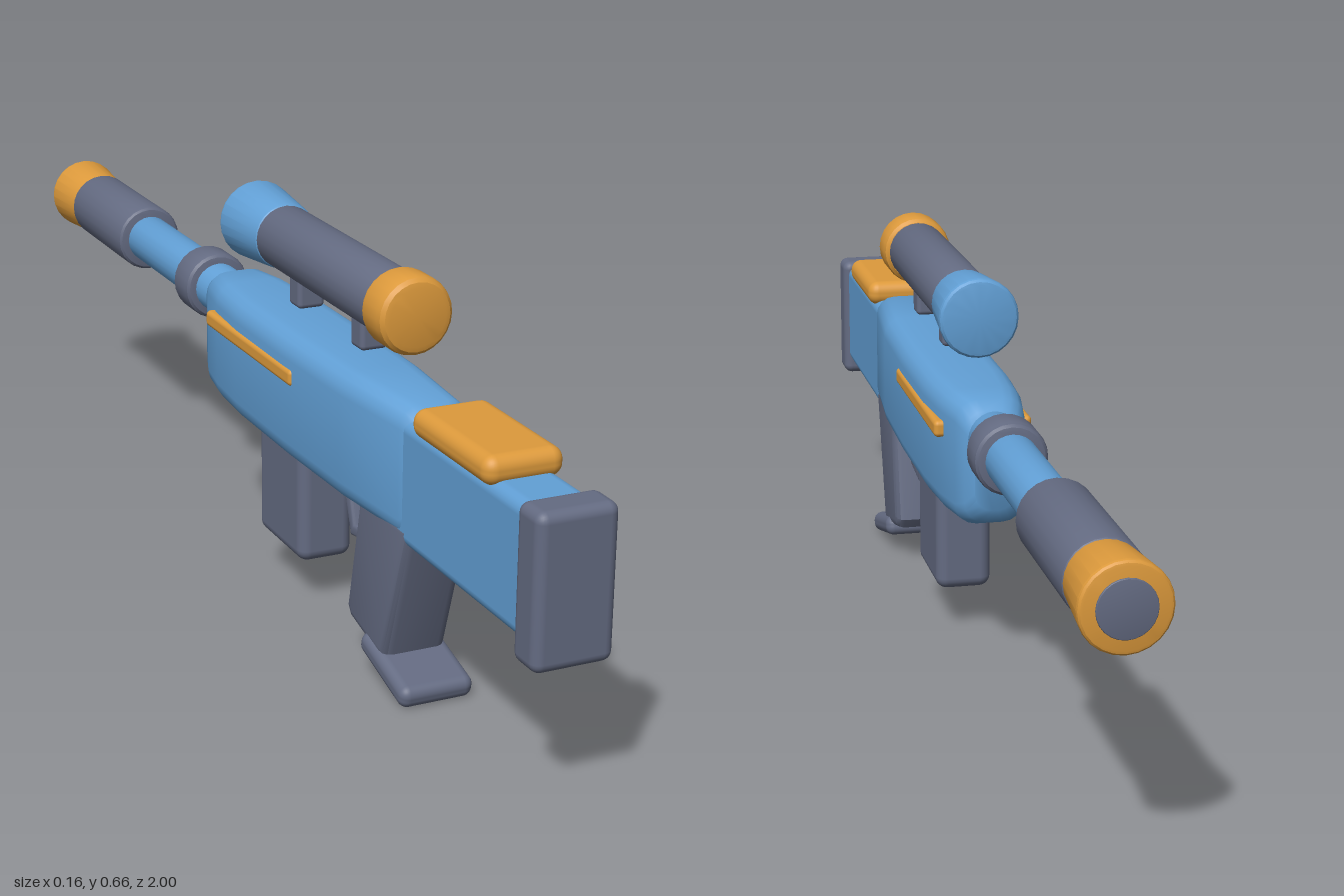
import * as THREE from 'three';
import { toCreasedNormals } from 'three/addons/utils/BufferGeometryUtils.js';
import { RoundedBoxGeometry } from 'three/addons/geometries/RoundedBoxGeometry.js';

const paint = (name, color) => {
  const m = new THREE.MeshStandardMaterial({ color });
  m.name = name;
  return m;
};

// Rounded cylinder along z, from zBack (radius rBack) to zFront (radius rFront)
function barrelPart(zBack, rBack, zFront, rFront, bevel = 0.008) {
  const pts = [new THREE.Vector2(0, -zBack)];
  for (let i = 0; i <= 3; i++) {
    const a = (i / 3) * Math.PI / 2;
    pts.push(new THREE.Vector2(rBack - bevel * (1 - Math.sin(a)), -zBack + bevel * (1 - Math.cos(a))));
  }
  for (let i = 0; i <= 3; i++) {
    const a = (i / 3) * Math.PI / 2;
    pts.push(new THREE.Vector2(rFront - bevel * (1 - Math.cos(a)), -zFront - bevel * (1 - Math.sin(a))));
  }
  pts.push(new THREE.Vector2(0, -zFront));
  return toCreasedNormals(new THREE.LatheGeometry(pts, 24).rotateX(-Math.PI / 2), 0.4);
}

// Side outline of [z, y] points extruded across x with bevelled edges
function sideExtrude(points, halfWidth, bevel) {
  const shape = new THREE.Shape(points.map(([z, y]) => new THREE.Vector2(z, y)));
  const g = new THREE.ExtrudeGeometry(shape, {
    depth: 2 * (halfWidth - bevel), bevelEnabled: true, bevelSize: bevel,
    bevelOffset: -bevel, bevelThickness: bevel, bevelSegments: 3,
  });
  g.translate(0, 0, -(halfWidth - bevel)).rotateY(-Math.PI / 2);
  return toCreasedNormals(g, 0.6);
}

// Rounded-rectangle sections [z, halfWidth, yLow, yHigh, cornerRadius] joined from back to front
function loft(sections) {
  const pos = [], index = [], steps = 4, n = 4 * (steps + 1);
  for (const [z, w, lo, hi, r] of sections) {
    const corners = [[w - r, hi - r], [r - w, hi - r], [r - w, lo + r], [w - r, lo + r]];
    corners.forEach(([cx, cy], c) => {
      for (let k = 0; k <= steps; k++) {
        const a = (c + k / steps) * Math.PI / 2;
        pos.push(cx + r * Math.cos(a), cy + r * Math.sin(a), z);
      }
    });
  }
  const last = sections.length - 1;
  for (let i = 0; i < last; i++) {
    for (let j = 0; j < n; j++) {
      const a = i * n + j, b = i * n + (j + 1) % n;
      index.push(a, a + n, b, b, a + n, b + n);
    }
  }
  for (let j = 1; j < n - 1; j++) {
    index.push(0, j, j + 1, last * n, last * n + j + 1, last * n + j);
  }
  const g = new THREE.BufferGeometry();
  g.setAttribute('position', new THREE.Float32BufferAttribute(pos, 3));
  g.setIndex(index);
  return toCreasedNormals(g, 0.7);
}

export function createModel() {
  const model = new THREE.Group();
  model.name = 'toyBlaster';
  const blue = paint('blue', 0x62a0d6);
  const grey = paint('slateGrey', 0x646b82);
  const orange = paint('orange', 0xdd9a3c);

  const add = (name, geometry, material, x = 0, y = 0, z = 0) => {
    const mesh = new THREE.Mesh(geometry, material);
    mesh.name = name;
    mesh.position.set(x, y, z);
    model.add(mesh);
    return mesh;
  };
  const box = (name, mat, w, y0, y1, z0, z1, r, x = 0) =>
    add(name, new RoundedBoxGeometry(w, y1 - y0, z1 - z0, 3, r), mat, x, (y0 + y1) / 2, (z0 + z1) / 2);

  // Receiver, bulging gently in the middle
  add('receiver', loft([
    [0.6, 0.036, 0.3, 0.46, 0.03],
    [0.593, 0.048, 0.282, 0.476, 0.032],
    [0.575, 0.057, 0.273, 0.484, 0.034],
    [0.4, 0.073, 0.272, 0.485, 0.036],
    [0.2, 0.078, 0.272, 0.485, 0.036],
    [0.0, 0.077, 0.272, 0.485, 0.036],
    [-0.1, 0.07, 0.272, 0.485, 0.036],
    [-0.17, 0.058, 0.273, 0.484, 0.036],
    [-0.2, 0.048, 0.285, 0.472, 0.034],
    [-0.215, 0.034, 0.308, 0.45, 0.03],
  ]), blue);
  for (const s of [1, -1]) {
    box('sideStripe', orange, 0.022, 0.408, 0.436, -0.122, 0.235, 0.008, s * 0.071);
  }

  // Stock
  box('stock', blue, 0.106, 0.265, 0.466, 0.55, 0.955, 0.02);
  box('buttPad', grey, 0.126, 0.24, 0.474, 0.935, 1.0, 0.016);
  const rest = new RoundedBoxGeometry(0.126, 0.045, 0.235, 4, 0.02);
  add('cheekRest', rest, orange, 0, 0.478, 0.737);

  // Barrel and muzzle
  const by = 0.428;
  add('barrel', barrelPart(-0.18, 0.043, -0.64, 0.043), blue, 0, by);
  add('barrelCollar', barrelPart(-0.263, 0.06, -0.335, 0.06, 0.012), grey, 0, by);
  add('barrelSleeve', barrelPart(-0.61, 0.061, -0.89, 0.061, 0.01), grey, 0, by);
  add('muzzle', barrelPart(-0.875, 0.058, -0.997, 0.067, 0.008), orange, 0, by);
  add('muzzleBore', barrelPart(-0.98, 0.043, -1.0, 0.043, 0.002), grey, 0, by);

  // Scope
  const sy = 0.597;
  add('scopeTube', barrelPart(0.46, 0.053, 0.02, 0.053), grey, 0, sy);
  add('scopeEyepiece', barrelPart(0.52, 0.062, 0.445, 0.062, 0.016), orange, 0, sy);
  add('scopeBell', barrelPart(0.04, 0.056, -0.095, 0.067, 0.01), blue, 0, sy);
  for (const z of [0.355, 0.12]) {
    box('scopeMount', grey, 0.047, 0.503, 0.565, z - 0.021, z + 0.021, 0.008);
  }

  // Magazine
  box('magazine', grey, 0.096, 0.085, 0.31, 0.028, 0.207, 0.02);

  // Grip with flared foot
  add('grip', sideExtrude([
    [0.605, 0.3], [0.53, 0.06], [0.515, 0.05], [0.405, 0.076], [0.392, 0.095], [0.435, 0.3],
  ], 0.054, 0.016), grey);
  const foot = add('gripFoot', new RoundedBoxGeometry(0.124, 0.037, 0.16, 4, 0.016), grey, 0, 0.043, 0.535);
  foot.rotation.x = 0.26;

  // Trigger and its guard
  add('trigger', sideExtrude([[0.39, 0.29], [0.42, 0.222], [0.385, 0.215], [0.362, 0.29]], 0.014, 0.005), orange);
  add('triggerGuard', sideExtrude([
    [0.44, 0.218], [0.44, 0.2], [0.34, 0.186], [0.303, 0.29], [0.325, 0.29], [0.352, 0.207],
  ], 0.022, 0.005), grey);

  return model;
}
